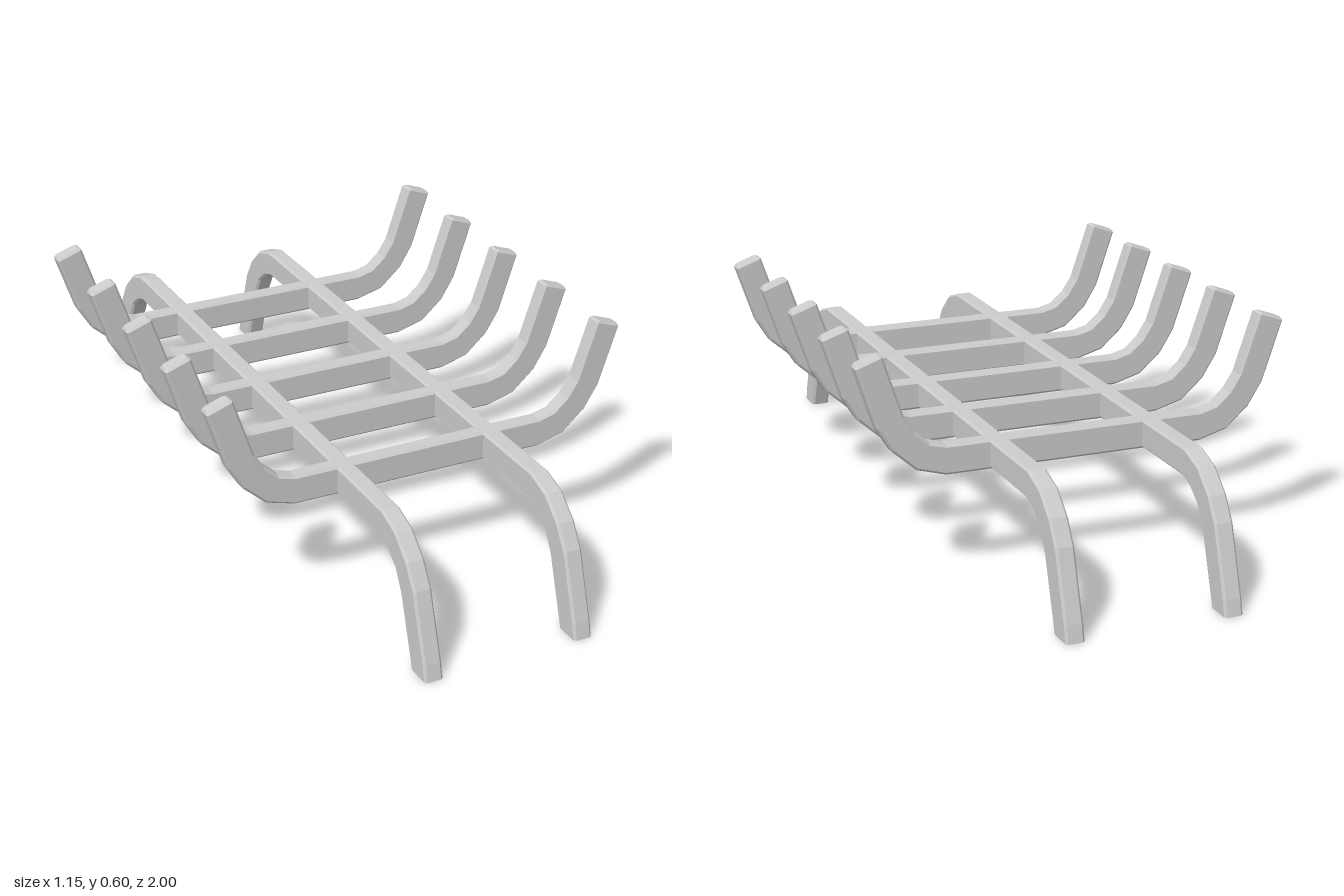
import * as THREE from 'three';

const CHAMFER = 0.006;

// Eight-sided section between a bottom point and a top point, shrunk by inset
function section([bu, bv, tu, tv], width, inset) {
  const height = Math.hypot(tu - bu, tv - bv);
  const h0 = inset / height, h1 = (inset + CHAMFER) / height;
  const w0 = width / 2 - inset, w1 = w0 - CHAMFER;
  return [
    [h1, -w0], [1 - h1, -w0], [1 - h0, -w1], [1 - h0, w1],
    [1 - h1, w0], [h1, w0], [h0, w1], [h0, -w1],
  ].map(([t, w]) => [bu + (tu - bu) * t, bv + (tv - bv) * t, w]);
}

// Symmetric bent bar along x; each station is [bottomX, bottomY, topX, topY]
function bentBar(stations, width, chamferEnds) {
  const half = stations.map((s) => ({ s, inset: 0 }));
  if (chamferEnds) {
    const last = stations.at(-1), prev = stations.at(-2);
    const k = CHAMFER / Math.hypot(last[0] - prev[0], last[1] - prev[1]);
    half.at(-1).s = last.map((v, i) => v + (prev[i] - v) * k);
    half.push({ s: last, inset: CHAMFER });
  }
  const mirrored = half.map(({ s, inset }) => ({ s: [-s[0], s[1], -s[2], s[3]], inset })).reverse();
  const rings = [...mirrored, ...half].map(({ s, inset }) => section(s, width, inset));

  const pos = [];
  const tri = (a, b, c) => pos.push(...a, ...b, ...c);
  for (let i = 0; i < rings.length - 1; i++) {
    const a = rings[i], b = rings[i + 1];
    for (let j = 0; j < 8; j++) {
      const k = (j + 1) % 8;
      tri(a[j], a[k], b[k]);
      tri(a[j], b[k], b[j]);
    }
  }
  // End caps
  const first = rings[0], end = rings.at(-1);
  for (let j = 1; j < 7; j++) {
    tri(first[0], first[j + 1], first[j]);
    tri(end[0], end[j], end[j + 1]);
  }
  const geometry = new THREE.BufferGeometry();
  geometry.setAttribute('position', new THREE.Float32BufferAttribute(pos, 3));
  geometry.computeVertexNormals();
  return geometry;
}

export function createModel() {
  const group = new THREE.Group();
  group.name = 'fireplaceGrate';
  const material = new THREE.MeshStandardMaterial({ color: 0xcccccc, flatShading: true });

  // Cross bars with upturned ends
  const crossBar = bentBar([
    [0.345, 0.275, 0.345, 0.352],
    [0.422, 0.297, 0.387, 0.363],
    [0.483, 0.351, 0.425, 0.396],
    [0.521, 0.413, 0.452, 0.438],
    [0.575, 0.574, 0.506, 0.598],
  ], 0.044, true);
  for (let i = -2; i <= 2; i++) {
    const bar = new THREE.Mesh(crossBar, material);
    bar.name = `crossBar${i + 3}`;
    bar.position.z = i * 0.255;
    group.add(bar);
  }

  // Long rails whose ends bend down into legs
  const rail = bentBar([
    [0.755, 0.277, 0.765, 0.351],
    [0.795, 0.263, 0.837, 0.327],
    [0.838, 0.23, 0.896, 0.274],
    [0.868, 0.176, 0.934, 0.214],
    [0.915, 0.035, 0.99, 0.043],
    [0.927, 0, 1, 0],
  ], 0.049, false);
  for (const side of [-1, 1]) {
    const mesh = new THREE.Mesh(rail, material);
    mesh.name = side > 0 ? 'leftRail' : 'rightRail';
    mesh.position.x = side * 0.206;
    mesh.rotation.y = Math.PI / 2;
    group.add(mesh);
  }
  return group;
}
